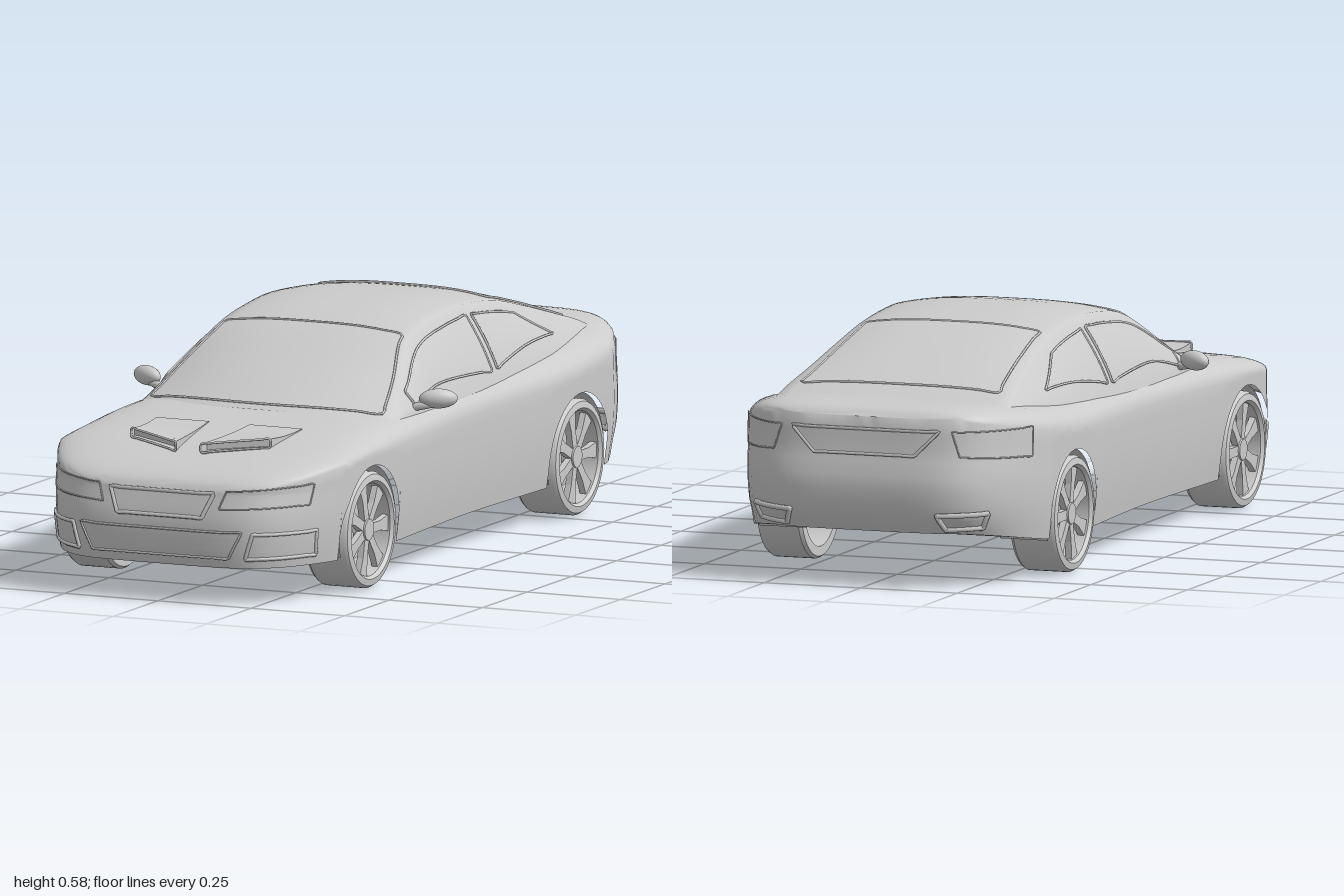
import * as THREE from 'three';
import { toCreasedNormals } from 'three/addons/utils/BufferGeometryUtils.js';

const mat = new THREE.MeshStandardMaterial({ color: 0xcccccc });
const thin = new THREE.MeshStandardMaterial({ color: 0xcccccc, side: THREE.DoubleSide });
const { lerp, smoothstep } = THREE.MathUtils;

// Smooth curve through [x, y] pairs sorted by x
function curve(p) {
  const slope = i => {
    const a = p[Math.max(i - 1, 0)], b = p[Math.min(i + 1, p.length - 1)];
    return (b[1] - a[1]) / (b[0] - a[0]);
  };
  return x => {
    if (x <= p[0][0]) return p[0][1];
    if (x >= p[p.length - 1][0]) return p[p.length - 1][1];
    let i = 0;
    while (x > p[i + 1][0]) i++;
    const h = p[i + 1][0] - p[i][0], t = (x - p[i][0]) / h, t2 = t * t, t3 = t2 * t;
    return (2 * t3 - 3 * t2 + 1) * p[i][1] + (t3 - 2 * t2 + t) * h * slope(i)
      + (3 * t2 - 2 * t3) * p[i + 1][1] + (t3 - t2) * h * slope(i + 1);
  };
}

// Mesh over a grid of points given by fn(i, j) -> [x, y, z]
function grid(name, nu, nv, fn, material = mat, crease = 0.75) {
  const pos = [], idx = [], v = [];
  for (let i = 0; i <= nu; i++) for (let j = 0; j <= nv; j++) {
    const q = fn(i, j);
    pos.push(...q);
    v.push(new THREE.Vector3(...q));
  }
  const tri = (a, b, c) => {
    if (new THREE.Triangle(v[a], v[b], v[c]).getArea() > 1e-9) idx.push(a, b, c);
  };
  for (let i = 0; i < nu; i++) for (let j = 0; j < nv; j++) {
    const a = i * (nv + 1) + j, b = a + nv + 1;
    tri(a, b, a + 1);
    tri(b, b + 1, a + 1);
  }
  const g = new THREE.BufferGeometry();
  g.setAttribute('position', new THREE.Float32BufferAttribute(pos, 3));
  g.setIndex(idx);
  return named(name, new THREE.Mesh(toCreasedNormals(g, crease), material));
}

function named(name, o) { o.name = name; return o; }

// Body proportions along z
const END = 0.992, AXLES = [0.607, -0.558], ARCH = 0.158, AXLE_Y = 0.142;
const shoulder = curve([[-END, .415], [-.9, .395], [-.7, .36], [-.5, .34], [0, .33], [.6, .325], [.75, .32], [.9, .295], [END, .27]]);
const crown = curve([[-END, .415], [-.97, .432], [-.9, .44], [-.74, .433], [-.5, .415], [0, .402], [.4, .39], [.5, .384], [.65, .367], [.8, .345], [.9, .322], [.95, .306], [.98, .288], [END, .27]]);
const base = curve([[-.97, .135], [-.72, .1], [-.6, .09], [1, .09]]);
const frontPush = curve([[.09, .006], [.13, 0], [.2, 0], [.27, .018]]);
const rearPush = curve([[.13, .035], [.18, .005], [.22, 0], [.29, 0], [.31, .012], [.42, .025]]);
const halfWidth = z => .389 * Math.min(1, Math.pow(Math.max(0, (END - Math.abs(z)) / .25), .2))
  - .02 * (1 - smoothstep(Math.abs(z), 0, .55));
const tuck = y => y < .27 ? 1 - .035 * ((.27 - y) / .18) ** 2 : 1;
const pushed = (z, y) => z - Math.sign(z) * (z > 0 ? frontPush(y) : rearPush(y)) * smoothstep(Math.abs(z), .6, .99);
const archOf = z => AXLES.find(c => Math.abs(z - c) < ARCH);
const topY = (u, z) => lerp(shoulder(z), crown(z), Math.sqrt(Math.max(0, 1 - Math.abs(u) ** 6)));

// Stations: dense at the rounded ends and round the wheel arches
function stations() {
  const zs = [];
  for (let i = 0; i <= 18; i++) zs.push(END - .25 * (i / 18) ** 5, -END + .25 * (i / 18) ** 5);
  for (let i = 1; i < 30; i++) zs.push(lerp(-.742, .742, i / 30));
  for (const c of AXLES) {
    for (let i = 1; i < 24; i++) zs.push(c + ARCH * Math.cos(i / 24 * Math.PI));
    for (const s of [-1, 1]) zs.push(c + s * (ARCH - .0002), c + s * (ARCH + .0005));
  }
  return zs.sort((a, b) => b - a);
}

function body() {
  const g = named('body', new THREE.Group()), zs = stations(), N = 8;
  const us = [.99, .97, .94, .9, .84, .75, .6, .4, .2, 0];
  const tops = [...us, ...us.slice(0, -1).reverse().map(u => -u)], last = 2 * N + tops.length + 1;
  g.add(grid('bodyShell', zs.length - 1, last, (i, j) => {
    const z = zs[i], w = halfWidth(z), side = j <= N ? 1 : -1, k = j <= N ? j : last - j;
    if (k > N) {
      const u = tops[j - N - 1], y = topY(u, z);
      return [w * u, y, pushed(z, y)];
    }
    const c = archOf(z);
    const low = c === undefined ? base(z) : AXLE_Y + Math.sqrt(ARCH ** 2 - (z - c) ** 2);
    const y = lerp(low, shoulder(z), k / N);
    return [side * w * tuck(y), y, pushed(z, y)];
  }));
  // Floor, notched at the wheels
  g.add(grid('floor', zs.length - 1, 1, (i, j) => {
    const z = zs[i], y = base(z), x = archOf(z) === undefined ? halfWidth(z) * tuck(y) : .25;
    return [(j ? 1 : -1) * x, y, pushed(z, y)];
  }));
  return g;
}

// Cabin: s runs 0-1 up the left side, 1-3 over the roof, 3-4 down the right side
const roofY = curve([[-.8, .432], [-.74, .457], [-.65, .489], [-.5, .535], [-.36, .567], [-.18, .584], [-.05, .58], [.12, .553], [.3, .475], [.47, .388]]);
const railY = curve([[-.8, .42], [-.74, .445], [-.65, .472], [-.5, .514], [-.36, .547], [-.18, .563], [-.05, .56], [.12, .533], [.3, .45], [.47, .375]]);
const railX = curve([[-.8, .3], [-.65, .275], [-.5, .258], [-.36, .247], [-.1, .247], [.12, .254], [.3, .297], [.47, .327]]);
const beltX = curve([[-.8, .33], [-.5, .352], [0, .352], [.3, .349], [.47, .34]]);
function cabinPoint(z, s, lift = 0) {
  const m = s > 2 ? -1 : 1, t = s > 2 ? 4 - s : s;
  let x, y;
  if (t <= 1) {
    x = lerp(beltX(z), railX(z), t) + .012 * Math.sin(Math.PI * t);
    y = lerp(.35, railY(z), t);
  } else {
    const u = 2 - t;
    x = railX(z) * u;
    y = lerp(roofY(z), railY(z), u * u * u);
  }
  const bow = .07 * (x / .33) ** 2 * smoothstep(z, .05, .45);
  return [m * x * (1 + 3 * lift), y + lift, z - bow];
}

// Curved panel inside four [a, b] corners, with a raised rim
function panel(name, corners, map, rim = .003) {
  const g = named(name, new THREE.Group()), [p, q, r, t] = corners, n = 14;
  const at = (u, v) => [0, 1].map(k => lerp(lerp(p[k], q[k], u), lerp(t[k], r[k], u), v));
  g.add(grid(name + 'Face', n, n, (i, j) => map(...at(i / n, j / n)), thin));
  const pts = [];
  for (const f of [k => [k, 0], k => [1, k], k => [1 - k, 1], k => [0, 1 - k]])
    for (let i = 0; i < 10; i++) pts.push(new THREE.Vector3(...map(...at(...f(i / 10)))));
  const path = new THREE.CatmullRomCurve3(pts, true);
  g.add(named(name + 'Rim', new THREE.Mesh(new THREE.TubeGeometry(path, 120, rim, 6, true), mat)));
  return g;
}

// Point on the nose (dir 1) or tail (dir -1) at x, y
const endPoint = (dir, side = 1, lift = .002) => (x, y) => {
  const z = dir * (END - .25 * Math.min(1, Math.abs(x) / (.389 * tuck(y))) ** 5);
  return [side * x, y, pushed(z, y) + dir * lift];
};

// Raised hood scoop with a recessed mouth
function scoop(side) {
  const g = named('hoodScoop', new THREE.Group()), n = 10;
  const at = (a, b, h) => {
    const x = lerp(lerp(.055, .195, a), lerp(.035, .185, a), b), z = lerp(.6, lerp(.83, .76, a), b);
    return [side * x, topY(x / halfWidth(z), z) + h, z];
  };
  const rise = b => .002 + .02 * b * b;
  g.add(grid('scoopTop', n, n, (i, j) => at(i / n, j / n, rise(j / n)), thin));
  for (const a of [0, 1]) g.add(grid('scoopWall', n, 1, (i, j) => at(a, i / n, j ? rise(i / n) : -.005), thin));
  g.add(grid('scoopBack', n, 1, (i, j) => at(i / n, .88, j ? rise(.88) : -.005), thin));
  const lip = [];
  for (let i = 0; i <= 8; i++) lip.push(new THREE.Vector3(...at(i / 8, 1, rise(1))));
  for (let i = 8; i >= 0; i--) lip.push(new THREE.Vector3(...at(i / 8, 1, .001)));
  g.add(named('scoopLip', new THREE.Mesh(new THREE.TubeGeometry(new THREE.CatmullRomCurve3(lip, true), 60, .003, 6, true), mat)));
  return g;
}

// Wheel with its axis on y, outer face at +y
function wheel() {
  const g = named('wheel', new THREE.Group());
  const add = (name, geo, y = 0) => { const m = named(name, new THREE.Mesh(geo, thin)); m.position.y = y; g.add(m); return m; };
  const tyre = [[.112, -.06], [.136, -.06], [.142, -.052], [.142, .046], [.136, .055], [.12, .058], [.113, .05], [.112, -.06]];
  add('tyre', toCreasedNormals(new THREE.LatheGeometry(tyre.map(p => new THREE.Vector2(...p)), 48), .6));
  add('hub', new THREE.CylinderGeometry(.026, .032, .03, 24), .034);
  add('brakeDisc', new THREE.CylinderGeometry(.075, .075, .012, 32), 0);
  const s = new THREE.Shape([[.02, -.012], [.07, -.012], [.116, -.021], [.116, .021], [.07, .012], [.02, .012]].map(p => new THREE.Vector2(...p)));
  const spoke = new THREE.ExtrudeGeometry(s, { depth: .016, bevelEnabled: false }).rotateX(-Math.PI / 2);
  for (let i = 0; i < 7; i++) add('spoke', spoke, .029).rotation.y = i / 7 * Math.PI * 2 + Math.PI / 2;
  return g;
}

function mirror(side) {
  const g = named('wingMirror', new THREE.Group());
  const shell = named('mirrorShell', new THREE.Mesh(new THREE.SphereGeometry(1, 24, 16), mat));
  shell.scale.set(.047, .024, .022);
  shell.position.set(side * .39, .409, .245);
  shell.rotation.y = side * .5;
  const arm = new THREE.CatmullRomCurve3([[.335, .388, .27], [.36, .393, .265], [.385, .4, .25]].map(p => new THREE.Vector3(side * p[0], p[1], p[2])));
  g.add(shell, named('mirrorArm', new THREE.Mesh(new THREE.TubeGeometry(arm, 8, .01, 8), mat)));
  return g;
}

export function createModel() {
  const car = named('coupe', new THREE.Group());
  car.add(body());
  car.add(grid('cabin', 50, 40, (i, j) => cabinPoint(lerp(.47, -.8, i / 50), j / 10), mat, 1.1));

  // Glass
  const glass = (z, s) => cabinPoint(z, s, .002);
  car.add(panel('windscreen', [[.45, 1.05], [.13, 1.08], [.13, 2.92], [.45, 2.95]], glass));
  car.add(panel('rearWindow', [[-.37, 1.1], [-.73, 1.12], [-.73, 2.88], [-.37, 2.9]], glass));

  // Nose and tail panels on the centre line
  const nose = endPoint(1), tail = endPoint(-1);
  car.add(panel('grille', [[-.138, .268], [.138, .268], [.113, .21], [-.113, .21]], nose, .005));
  car.add(panel('lowerIntake', [[-.215, .178], [.215, .178], [.182, .114], [-.182, .114]], nose, .003));
  car.add(panel('plateRecess', [[-.19, .385], [.19, .385], [.13, .325], [-.13, .325]], tail, .004));

  for (const side of [1, -1]) {
    const flank = (z, s) => { const p = glass(z, s); return [side * p[0], p[1], p[2]]; };
    car.add(panel('doorWindow', [[.33, .45], [.33, .84], [-.17, .88], [-.17, .27]], flank));
    car.add(panel('quarterWindow', [[-.2, .28], [-.2, .88], [-.42, .85], [-.56, .6]], flank));
    const front = endPoint(1, side), back = endPoint(-1, side);
    car.add(panel('headlight', [[.17, .275], [.345, .288], [.34, .24], [.155, .233]], front, .002));
    car.add(panel('fogLight', [[.24, .174], [.35, .174], [.345, .115], [.222, .113]], front, .005));
    car.add(panel('tailLight', [[.22, .385], [.368, .385], [.368, .315], [.24, .325]], back, .002));
    car.add(panel('exhaust', [[.19, .182], [.3, .186], [.285, .15], [.205, .146]], back, .007));
    car.add(scoop(side), mirror(side));

    for (const z of AXLES) {
      const w = wheel();
      w.position.set(side * .33, AXLE_Y, z);
      w.rotation.z = -side * Math.PI / 2;
      car.add(w);
      // Wheel well: arched lining and inner wall
      car.add(grid('wheelWell', 28, 2, (i, j) => {
        const a = lerp(-.3, Math.PI + .3, i / 28), r = j === 0 ? .02 : ARCH;
        return [side * (j === 2 ? .374 : .25), AXLE_Y + r * Math.sin(a), z + r * Math.cos(a)];
      }, thin));
    }
  }
  return car;
}
